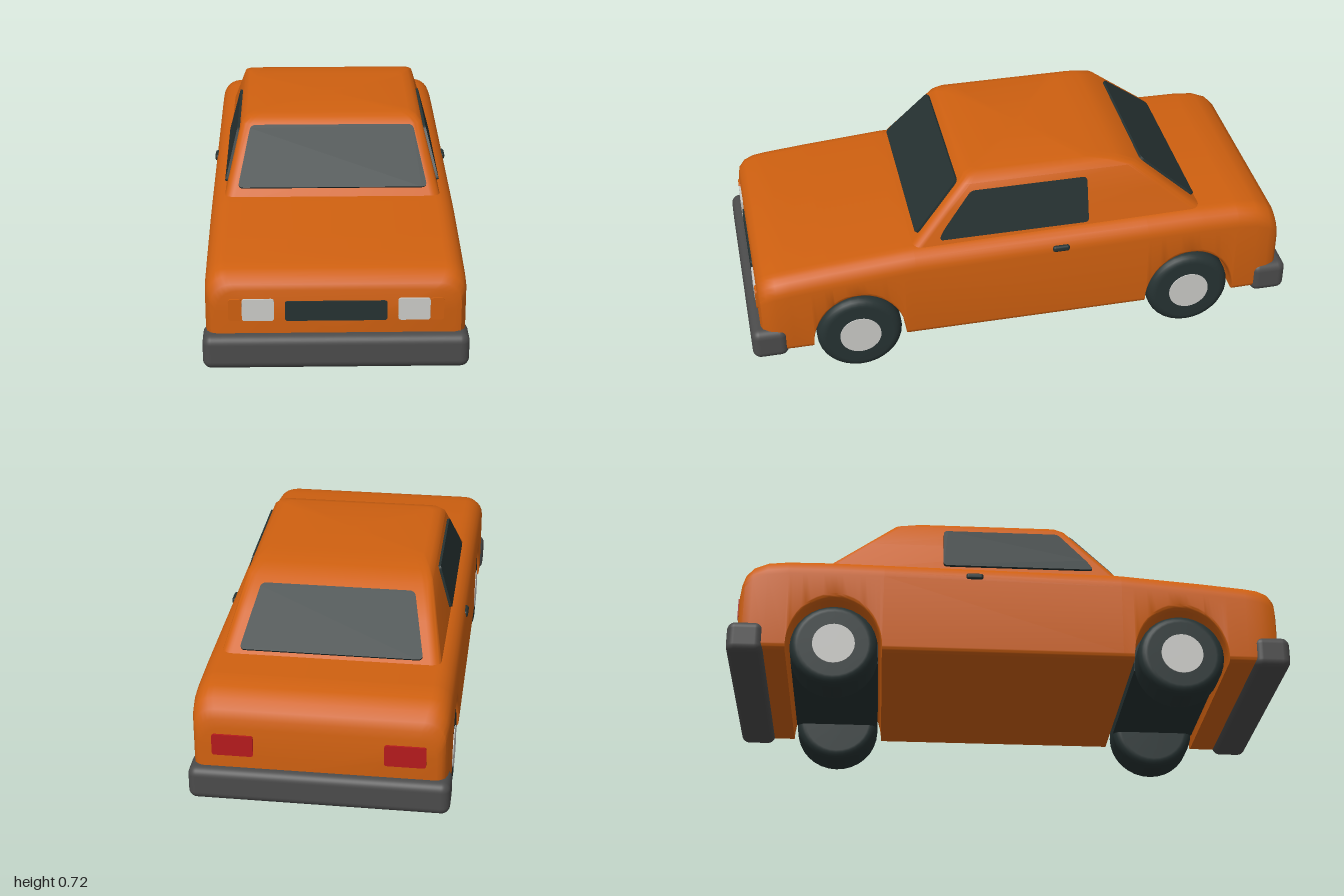
import * as THREE from 'three';
import { toCreasedNormals } from 'three/addons/utils/BufferGeometryUtils.js';
import { RoundedBoxGeometry } from 'three/addons/geometries/RoundedBoxGeometry.js';

const mat = (name, color) => Object.assign(new THREE.MeshStandardMaterial({ color }), { name });

// Counter-clockwise rounded rectangle with separate lower and upper corner radii
function roundRing(hw, lo, hi, rLo, rHi) {
  const corners = [
    [hw - rLo, lo + rLo, rLo, -0.5], [hw - rHi, hi - rHi, rHi, 0],
    [rHi - hw, hi - rHi, rHi, 0.5], [rLo - hw, lo + rLo, rLo, 1]];
  const pts = [];
  for (const [cx, cy, r, start] of corners) {
    for (let i = 0; i <= 6; i++) {
      const a = (start + i / 12) * Math.PI;
      pts.push([cx + r * Math.cos(a), cy + r * Math.sin(a)]);
    }
  }
  return pts;
}

// Skin a list of rings (each a list of [x, y, z]) and cap both ends
function loft(rings) {
  const n = rings[0].length, pos = rings.flat(2), index = [];
  for (let i = 0; i < rings.length - 1; i++) {
    for (let j = 0; j < n; j++) {
      const a = i * n + j, b = i * n + (j + 1) % n;
      index.push(a, a + n, b, b, a + n, b + n);
    }
  }
  [0, rings.length - 1].forEach((r) => {
    const c = pos.length / 3;
    for (let k = 0; k < 3; k++) pos.push(rings[r].reduce((s, p) => s + p[k], 0) / n);
    for (let j = 0; j < n; j++) {
      const a = r * n + j, b = r * n + (j + 1) % n;
      index.push(c, ...(r === 0 ? [a, b] : [b, a]));
    }
  });
  const g = new THREE.BufferGeometry();
  g.setAttribute('position', new THREE.Float32BufferAttribute(pos, 3));
  g.setIndex(index);
  return toCreasedNormals(g, 0.6);
}

// Thin plate with rounded corners, facing +z
function plate(points, radius = 0.015, depth = 0.009) {
  const v = points.map((p) => new THREE.Vector2(...p)), s = new THREE.Shape();
  v.forEach((p, i) => {
    const toward = (q) => p.clone().add(q.clone().sub(p).setLength(radius));
    const a = toward(v[(i + v.length - 1) % v.length]), b = toward(v[(i + 1) % v.length]);
    if (i) s.lineTo(a.x, a.y); else s.moveTo(a.x, a.y);
    s.quadraticCurveTo(p.x, p.y, b.x, b.y);
  });
  s.closePath();
  return new THREE.ExtrudeGeometry(s, { depth, bevelEnabled: false, curveSegments: 5 });
}
const rectangle = (x0, x1, y0, y1) => plate([[x0, y0], [x1, y0], [x1, y1], [x0, y1]], 0.01);

export function createModel() {
  const car = new THREE.Group();
  car.name = 'car';
  const paint = mat('orange paint', 0xcf6010), dark = mat('dark glass and rubber', 0x263232);
  const grey = mat('bumper grey', 0x4b4b4b), light = mat('pale grey', 0xcbcbc8), red = mat('red lamp', 0xb51a1c);
  const add = (name, geometry, material, x = 0, y = 0, z = 0) => {
    const m = new THREE.Mesh(geometry, material);
    m.name = name;
    m.position.set(x, y, z);
    car.add(m);
    return m;
  };
  const axles = [0.61, -0.625], archR = 0.17, floorY = 0.13;

  // Lower body: z, top height, half width, from front to back
  const outline = [
    [0.963, 0.385, 0.395], [0.956, 0.405, 0.415], [0.935, 0.425, 0.428], [0.9, 0.437, 0.434],
    [0.85, 0.444, 0.435], [0.7, 0.458, 0.435], [0.4, 0.481, 0.435], [-0.65, 0.496, 0.435],
    [-0.8, 0.494, 0.435], [-0.87, 0.487, 0.434], [-0.92, 0.468, 0.43], [-0.948, 0.44, 0.422],
    [-0.96, 0.41, 0.41], [-0.966, 0.38, 0.395]];
  const stations = outline.map((o) => o[0]);
  for (const c of axles) {
    for (let i = 0; i <= 24; i++) stations.push(c + archR * Math.cos(i / 24 * Math.PI));
  }
  stations.sort((a, b) => b - a);
  const bodyRings = stations.map((z) => {
    const i = Math.max(1, outline.findIndex((o) => o[0] <= z));
    const [p, q] = [outline[i - 1], outline[i]], t = (p[0] - z) / (p[0] - q[0]);
    const top = THREE.MathUtils.lerp(p[1], q[1], t), hw = THREE.MathUtils.lerp(p[2], q[2], t);
    // wheel arches raise the floor line
    let lo = floorY;
    for (const c of axles) lo += 0.2 * Math.sqrt(Math.max(0, 1 - ((z - c) / archR) ** 2));
    return roundRing(hw, lo, top, 0.02, 0.07).map(([x, y]) => [x, y, z]);
  });
  add('body', loft(bodyRings), paint);

  // Cabin: sloped planes shared with the windows
  const frontZ = (y) => 0.4 - 0.88 * (y - 0.48);
  const rearZ = (y) => -0.67 + 1.2 * (y - 0.49);
  const sideX = (y) => 0.378 - 0.27 * (y - 0.5);
  const levels = [[0.716, 0.16, -0.27, 0.28], [0.709, 0.195, -0.36, 0.307]];
  for (const y of [0.69, 0.6, 0.46]) levels.push([y, frontZ(y), rearZ(y), sideX(y)]);
  add('cabin', loft(levels.map(([y, zf, zr, hw]) =>
    roundRing(hw, -zf, -zr, 0.035, 0.035).map(([x, d]) => [x, y, -d]))), paint);

  // Windscreen and rear window
  const slopedWindow = (name, slope, lowY, highY, lowW, highW, z, back) => {
    const h = (highY - lowY) * Math.hypot(1, slope);
    const g = plate([[-lowW, 0], [lowW, 0], [highW, h], [-highW, h]], 0.02);
    g.rotateX(-Math.atan(slope));
    if (back) g.rotateY(Math.PI);
    add(name, g, dark, 0, lowY, z);
  };
  slopedWindow('windscreen', 0.88, 0.505, 0.685, 0.338, 0.293, frontZ(0.505), false);
  slopedWindow('rearWindow', 1.2, 0.505, 0.668, 0.318, 0.27, rearZ(0.505), true);

  for (const s of [1, -1]) {
    const side = s > 0 ? 'left' : 'right';
    // Side window
    const stretch = Math.hypot(1, 0.27);
    const g = plate([[0.305, 0.5], [0.285, 0.535], [0.18, 0.665], [-0.242, 0.665], [-0.242, 0.5]]
      .map(([z, y]) => [-s * z, (y - 0.5) * stretch]));
    g.rotateX(-Math.atan(0.27)).rotateY(s * Math.PI / 2);
    add(side + 'SideWindow', g, dark, s * sideX(0.5), 0.5, 0);

    // Door handle
    add(side + 'DoorHandle', new RoundedBoxGeometry(0.02, 0.024, 0.062, 3, 0.009), dark, s * 0.431, 0.434, -0.13);

    // Lamps
    const lamp = (a, b) => rectangle(Math.min(s * a, s * b), Math.max(s * a, s * b), 0.278, 0.356);
    add(side + 'Headlight', lamp(0.205, 0.311), light, 0, 0, 0.961);
    add(side + 'Indicator', lamp(0.312, 0.356), paint, 0, 0, 0.96);
    add(side + 'TailLight', lamp(0.22, 0.36), red, 0, 0, -0.973);
  }
  add('grille', rectangle(-0.169, 0.169, 0.277, 0.347), dark, 0, 0, 0.96);

  // Bumpers
  for (const s of [1, -1]) {
    add(s > 0 ? 'frontBumper' : 'rearBumper', new RoundedBoxGeometry(0.886, 0.12, 0.13, 5, 0.03), grey, 0, 0.17, s * 0.935);
  }

  // Wheels with rounded tyre shoulders, and the dark well between each pair
  const profile = [new THREE.Vector2(0, -0.075)];
  for (const [cy, start] of [[-0.042, -0.5], [0.042, 0]]) {
    for (let i = 0; i <= 6; i++) {
      const a = (start + i / 12) * Math.PI;
      profile.push(new THREE.Vector2(0.122 + 0.033 * Math.cos(a), cy + 0.033 * Math.sin(a)));
    }
  }
  profile.push(new THREE.Vector2(0, 0.075));
  const tyre = new THREE.LatheGeometry(profile, 32).rotateZ(-Math.PI / 2);
  const hub = new THREE.CylinderGeometry(0.075, 0.075, 0.02, 28).rotateZ(-Math.PI / 2);
  for (const z of axles) {
    const end = z > 0 ? 'front' : 'rear';
    for (const s of [1, -1]) {
      const side = s > 0 ? 'Left' : 'Right';
      add(end + side + 'Tyre', tyre, dark, s * 0.355, 0.155, z);
      add(end + side + 'Hub', hub, light, s * 0.423, 0.155, z);
    }
    add(end + 'WheelWell', new THREE.BoxGeometry(0.6, 0.15, 0.31), dark, 0, 0.215, z);
  }
  return car;
}
